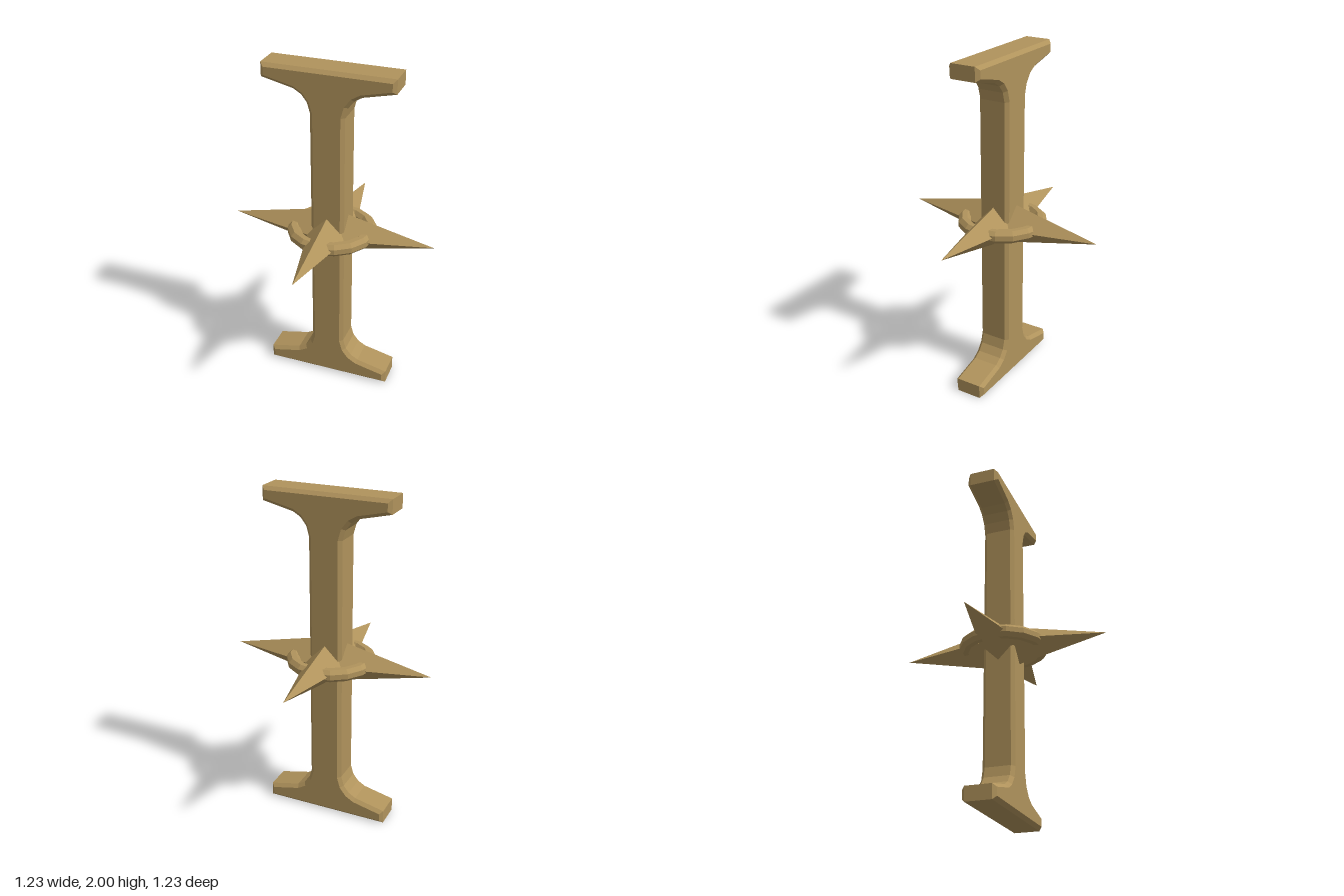
import * as THREE from 'three';

export function createModel() {
  const model = new THREE.Group();
  const bronze = new THREE.MeshStandardMaterial({ color: 0xb0935c });
  bronze.name = 'bronze';
  bronze.flatShading = true;

  const add = (name, geometry) => {
    const mesh = new THREE.Mesh(geometry, bronze);
    mesh.name = name;
    model.add(mesh);
    return mesh;
  };

  // I-shaped pillar: one quarter outline mirrored to all four corners
  const quarter = [[0.38, 0], [0.38, 0.082], [0.195, 0.125], [0.15, 0.152], [0.117, 0.195], [0.1, 0.255]];
  const right = [...quarter, ...quarter.map(([x, y]) => [x, 2 - y]).reverse()];
  const left = right.map(([x, y]) => [-x, y]).reverse();
  const outline = new THREE.Shape([...right, ...left].map(([x, y]) => new THREE.Vector2(x, y)));
  const bevel = 0.02;
  const depth = 0.15;
  const pillar = new THREE.ExtrudeGeometry(outline, {
    depth, bevelEnabled: true, bevelThickness: bevel, bevelSize: bevel, bevelOffset: -bevel, bevelSegments: 1,
  });
  pillar.translate(0, 0, -depth / 2);
  add('pillar', pillar);

  // Four-sided spikes pointing outwards at mid height
  const base = 0.07;
  const length = 0.543;
  const spike = new THREE.ConeGeometry(0.123, length, 4, 1);
  spike.rotateX(Math.PI / 2);
  spike.translate(0, 0, base + length / 2);
  ['frontSpike', 'leftSpike', 'backSpike', 'rightSpike'].forEach((name, i) => {
    const mesh = add(name, spike);
    mesh.position.y = 1;
    mesh.rotation.y = i * Math.PI / 2;
  });

  // Faceted ring threaded through the spikes
  const section = [];
  for (let i = 0; i <= 8; i++) {
    const a = (i + 0.5) * Math.PI / 4;
    section.push(new THREE.Vector2(0.224 + 0.04 * Math.cos(a), 0.04 * Math.sin(a)));
  }
  add('ring', new THREE.LatheGeometry(section, 16)).position.y = 1;

  return model;
}
